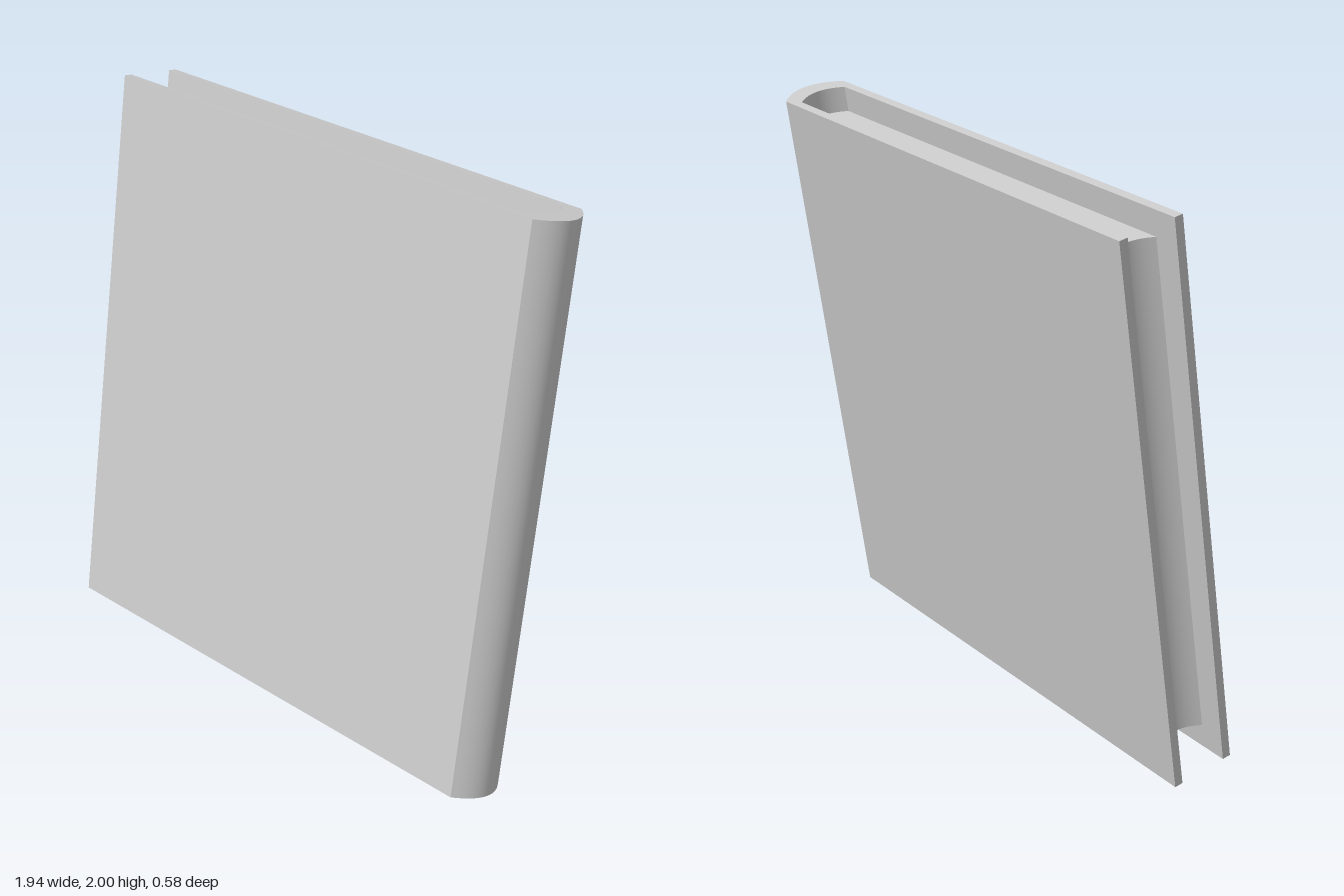
import * as THREE from 'three';
import { toCreasedNormals } from 'three/addons/utils/BufferGeometryUtils.js';

const W = 0.915;      // half width of a cover board
const H = 1.971;      // cover height
const T = 0.119;      // half thickness of the closed book
const BOARD = 0.031;  // board thickness
const RECESS = 0.09;  // pages sit this far inside the cover, top and bottom
const INNER = T - BOARD;
const HINGE = W - 0.055;

// Lean of the book: its width, height and thickness directions, and its centre
const lean = new THREE.Matrix4().makeBasis(
  new THREE.Vector3(1, 0.0085, -0.017),
  new THREE.Vector3(-0.0203, 0.987, -0.16),
  new THREE.Vector3(0.0154, 0.16, 0.987)
).setPosition(-0.036, 1.001, -0.005);

// Extrude a plan outline up the height of the book, then lean it
function upright(name, shape, height) {
  let geo = new THREE.ExtrudeGeometry(shape, { depth: height, bevelEnabled: false, curveSegments: 16 });
  geo.translate(0, 0, -height / 2).rotateX(-Math.PI / 2);
  geo = toCreasedNormals(geo, 0.4);
  geo.applyMatrix4(lean);
  const mesh = new THREE.Mesh(geo, new THREE.MeshStandardMaterial({ color: 0xcccccc }));
  mesh.name = name;
  return mesh;
}

export function createModel() {
  const group = new THREE.Group();
  group.name = 'book';

  // Two boards joined by a rounded spine
  const cover = new THREE.Shape();
  cover.moveTo(-W, -T);
  cover.lineTo(W, -T);
  cover.quadraticCurveTo(W + 0.134, 0, W, T);
  cover.lineTo(-W, T);
  cover.lineTo(-W, INNER);
  cover.lineTo(HINGE, INNER);
  cover.quadraticCurveTo(HINGE + 0.086, 0, HINGE, -INNER);
  cover.lineTo(-W, -INNER);
  cover.closePath();
  group.add(upright('cover', cover, H));

  // Page block: round at the spine, hollow at the fore edge
  const pages = new THREE.Shape();
  const fore = -W + 0.095;
  pages.moveTo(fore, -INNER);
  pages.lineTo(HINGE, -INNER);
  pages.quadraticCurveTo(HINGE + 0.086, 0, HINGE, INNER);
  pages.lineTo(fore, INNER);
  pages.quadraticCurveTo(fore + 0.08, 0, fore, -INNER);
  group.add(upright('pages', pages, H - 2 * RECESS));

  return group;
}
